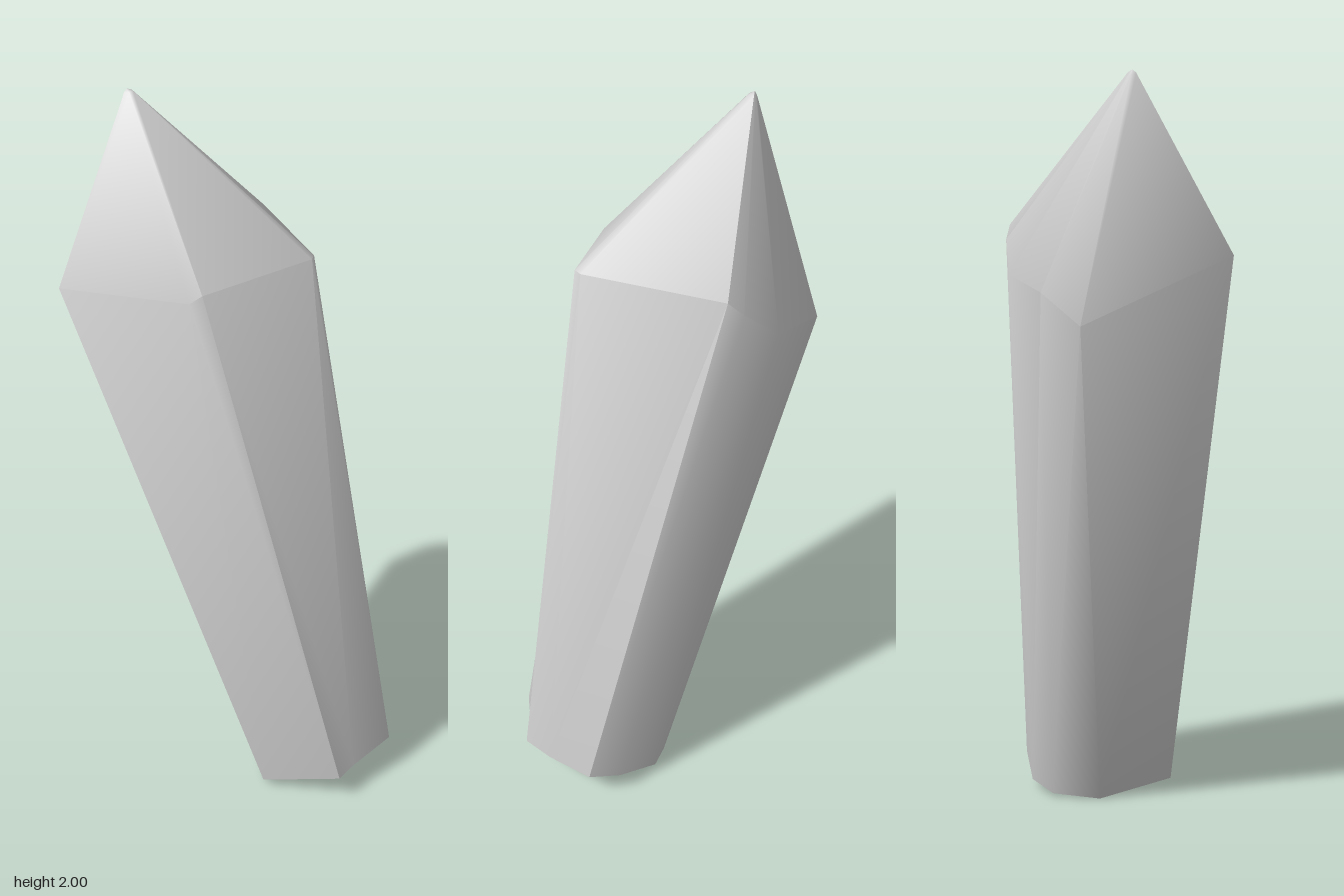
import * as THREE from 'three';
import { toCreasedNormals } from 'three/addons/utils/BufferGeometryUtils.js';

// Open base ring, ordered from the right ridge round through the front
const BASE = [
  [0.41, 0.113, -0.05], [0.435, 0.12, 0.04],
  [0.35, 0.095, 0.16], [0.32, 0.085, 0.215],
  [0.09, 0.02, 0.205], [0.02, 0, -0.02],
  [0.06, 0.01, -0.15], [0.13, 0.03, -0.2],
  [0.26, 0.07, -0.2], [0.35, 0.095, -0.17],
];

// Shoulder ring, where the column turns in towards the point
const SHOULDER = [
  [0.175, 1.63, 0.055], [0.175, 1.63, 0.08],
  [-0.05, 1.59, 0.28], [-0.08, 1.57, 0.29],
  [-0.438, 1.55, 0.23], [-0.437, 1.38, -0.15],
  [-0.36, 1.46, -0.235], [-0.18, 1.5, -0.29],
  [-0.07, 1.59, -0.285], [-0.03, 1.63, -0.27],
];

const TIP = [-0.316, 2, 0.002];

export function createModel() {
  const group = new THREE.Group();
  const stone = new THREE.MeshStandardMaterial({ color: 0xcccccc, side: THREE.DoubleSide });
  stone.name = 'pale grey stone';

  // Small ring just under the tip gives the point a slightly blunt end
  const blunt = SHOULDER.map(p => p.map((v, k) => {
    const t = TIP[k] + (v - TIP[k]) * 0.035;
    return k === 1 ? t + 0.008 : t;
  }));
  const rings = [BASE, SHOULDER, blunt];
  const n = BASE.length;
  const positions = [...rings.flat(2), ...TIP];
  const tipIndex = rings.length * n;
  const index = [];

  // Side walls between successive rings, then a fan closing the tip
  for (let i = 0; i < n; i++) {
    const j = (i + 1) % n;
    for (let r = 0; r < rings.length - 1; r++) {
      const a = r * n + i, b = r * n + j;
      index.push(a, a + n, b, b, a + n, b + n);
    }
    const top = (rings.length - 1) * n;
    index.push(top + i, tipIndex, top + j);
  }

  const geometry = new THREE.BufferGeometry();
  geometry.setAttribute('position', new THREE.Float32BufferAttribute(positions, 3));
  geometry.setIndex(index);

  // Bevels shade smoothly while the sharpest ridges stay crisp
  const crystal = new THREE.Mesh(toCreasedNormals(geometry, 0.75), stone);
  crystal.name = 'crystalShard';
  group.add(crystal);
  return group;
}
